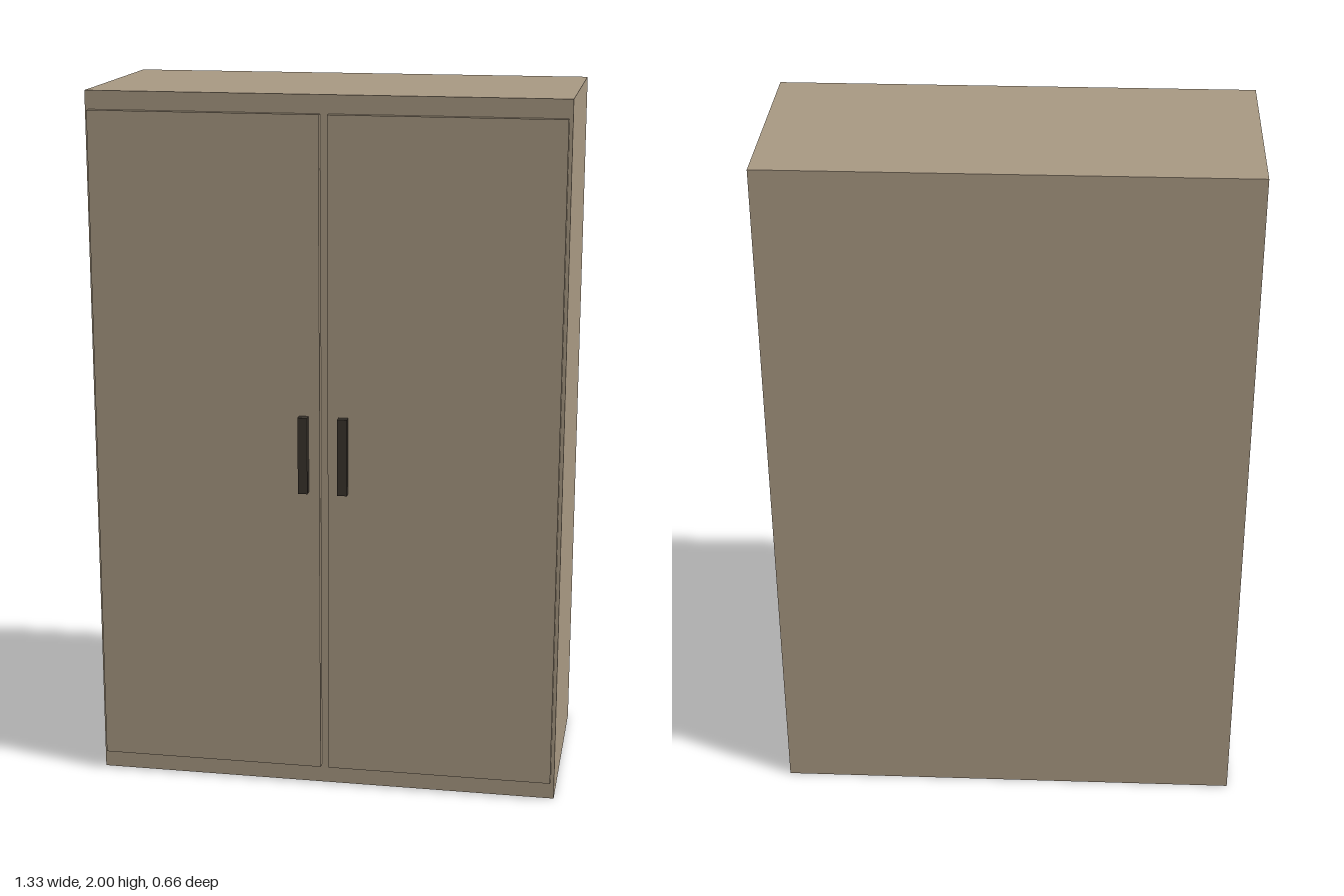
import * as THREE from 'three';

export function createModel() {
  const wood = new THREE.MeshStandardMaterial({ color: 0xa99983 });
  wood.name = 'taupe wood';
  const metal = new THREE.MeshStandardMaterial({ color: 0x3a342d });
  metal.name = 'dark handle';

  const wardrobe = new THREE.Group();
  wardrobe.name = 'wardrobe';

  // Box given by its size and the centre of its back face
  function addBox(name, material, [w, h, d], [x, y, zBack]) {
    const mesh = new THREE.Mesh(new THREE.BoxGeometry(w, h, d), material);
    mesh.name = name;
    mesh.position.set(x, y, zBack + d / 2);
    wardrobe.add(mesh);
  }

  // Cabinet body
  addBox('cabinet', wood, [1.333, 2, 0.611], [0, 1, -0.328]);

  // Mirrored doors with upright bar handles
  for (const [side, s] of [['left', 1], ['right', -1]]) {
    addBox(side + 'Door', wood, [0.645, 1.893, 0.022], [s * 0.334, 1.002, 0.283]);
    addBox(side + 'Handle', metal, [0.027, 0.22, 0.023], [s * 0.056, 1.002, 0.305]);
  }

  return wardrobe;
}
